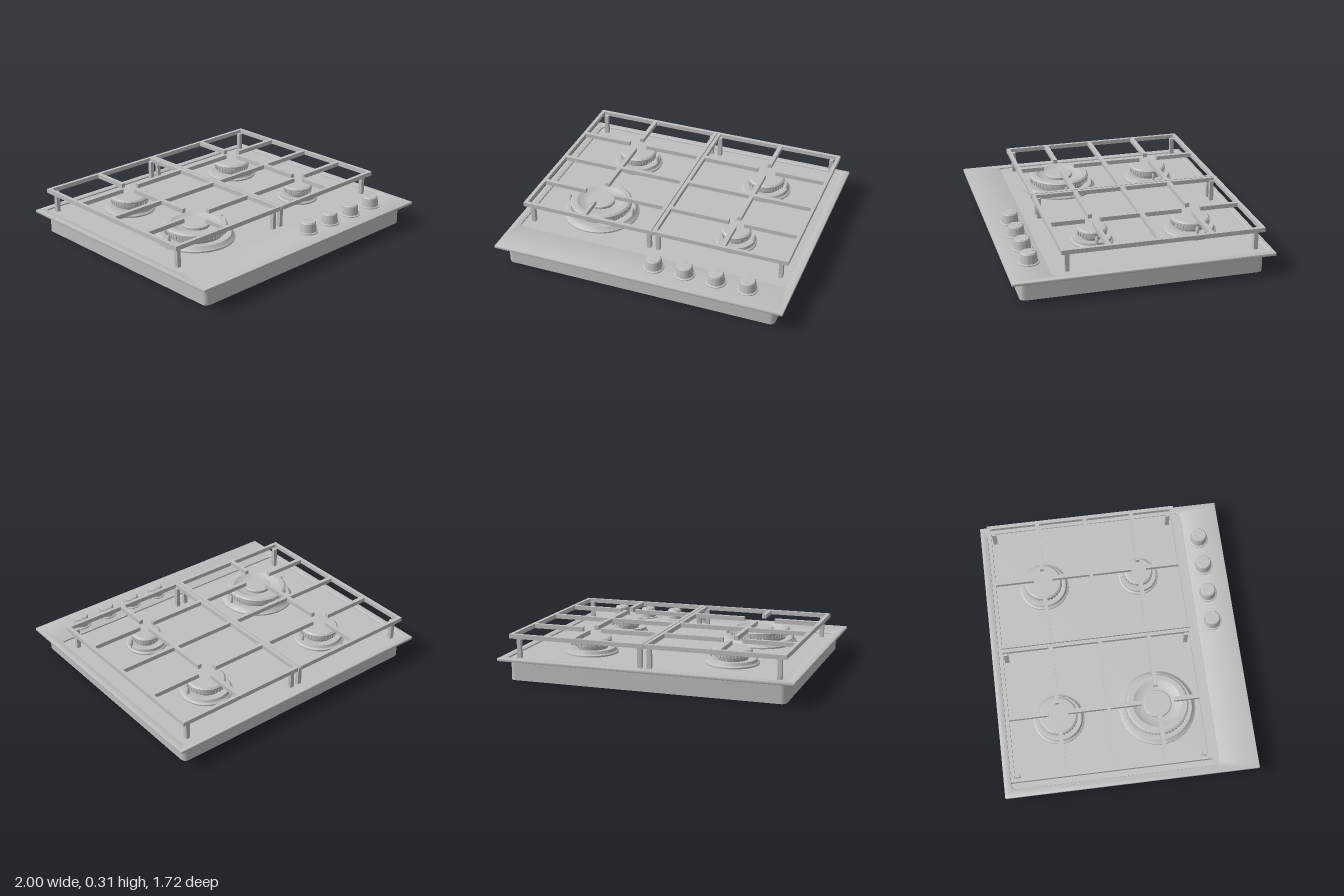
import * as THREE from 'three';
import { mergeGeometries, toCreasedNormals } from 'three/addons/utils/BufferGeometryUtils.js';

const steel = new THREE.MeshStandardMaterial({ color: 0xbfbfbf });
steel.name = 'brushed grey steel';

function add(parent, name, geometry) {
  const mesh = new THREE.Mesh(geometry, steel);
  mesh.name = name;
  parent.add(mesh);
  return mesh;
}

// Rounded rectangle in plan, x0..x1 by z0..z1
function roundedRect(x0, x1, z0, z1, r, Type = THREE.Shape) {
  const s = new Type(), a = -z1, b = -z0;
  s.moveTo(x0 + r, a);
  s.lineTo(x1 - r, a); s.quadraticCurveTo(x1, a, x1, a + r);
  s.lineTo(x1, b - r); s.quadraticCurveTo(x1, b, x1 - r, b);
  s.lineTo(x0 + r, b); s.quadraticCurveTo(x0, b, x0, b - r);
  s.lineTo(x0, a + r); s.quadraticCurveTo(x0, a, x0 + r, a);
  return s;
}

// Horizontal slab from y0 to y1 with an optional small bevel
function slab(shape, y0, y1, bevel = 0) {
  const g = new THREE.ExtrudeGeometry(shape, {
    depth: y1 - y0 - 2 * bevel, bevelEnabled: bevel > 0, bevelSize: bevel,
    bevelThickness: bevel, bevelOffset: -bevel, bevelSegments: 2, curveSegments: 6,
  });
  g.rotateX(-Math.PI / 2).translate(0, y0 + bevel, 0);
  return toCreasedNormals(g, 0.6);
}

function box(x0, x1, y0, y1, z0, z1) {
  return new THREE.BoxGeometry(x1 - x0, y1 - y0, z1 - z0)
    .translate((x0 + x1) / 2, (y0 + y1) / 2, (z0 + z1) / 2);
}

function lathe(points, segments = 48) {
  const g = new THREE.LatheGeometry(points.map(p => new THREE.Vector2(...p)), segments);
  return toCreasedNormals(g, 0.5);
}

// Burner: dished base, toothed crown, cap and ignition pins
function burner(name, x, z, baseR, capR, pins, doubleRing) {
  const g = new THREE.Group();
  g.name = name;
  g.position.set(x, 0, z);
  add(g, 'burnerBase', lathe([
    [0, 0.149], [baseR, 0.149], [baseR, 0.16], [baseR - 0.012, 0.168],
    [capR + 0.025, 0.186], [capR + 0.005, 0.188], [capR - 0.015, 0.18], [0, 0.18],
  ]));
  add(g, 'burnerCrown', lathe([
    [capR - 0.03, 0.178], [capR - 0.025, 0.2], [capR - 0.006, 0.208],
    [capR - 0.006, 0.232], [0, 0.232],
  ]));
  const teeth = [], count = Math.round(capR * 260);
  for (let i = 0; i < count; i++) {
    teeth.push(new THREE.BoxGeometry(0.012, 0.024, 0.012)
      .translate(capR - 0.007, 0.218, 0).rotateY(i / count * Math.PI * 2));
  }
  add(g, 'crownTeeth', mergeGeometries(teeth));
  const rim = [[capR - 0.01, 0.229], [capR, 0.231], [capR, 0.244], [capR - 0.012, 0.254]];
  add(g, 'burnerCap', lathe(doubleRing
    ? [...rim, [0.165, 0.254], [0.135, 0.236], [0.095, 0.234], [0.095, 0.25], [0.088, 0.255], [0, 0.255]]
    : [...rim, [0, 0.256]]));
  for (const px of pins) {
    add(g, 'ignitionPin', lathe([
      [0.006, 0.15], [0.006, 0.19], [0.011, 0.192], [0.011, 0.225], [0.005, 0.237], [0, 0.237],
    ], 12)).position.x = px;
  }
  return g;
}

// Pan support: frame, centre rib, and fingers stopping short of each burner
function grate(name, x0, x1, cx, backGap, frontGap, frontGapZ) {
  const g = new THREE.Group();
  g.name = name;
  const y0 = 0.286, y1 = 0.315, w = 0.025, h = 0.0145, zb = -0.8, zf = 0.535;
  const alongX = (a, b, z) => box(a, b, y0, y1, z - h, z + h);
  const alongZ = (a, b, x) => box(x - h, x + h, y0, y1, a, b);
  const bz = -0.445, fz = 0.23, a = x0 + w, b = x1 - w;
  add(g, 'grateFrame', mergeGeometries([
    box(x0, x1, y0, y1, zb, zb + w), box(x0, x1, y0, y1, zf - w, zf),
    box(x0, a, y0, y1, zb + w, zf - w), box(b, x1, y0, y1, zb + w, zf - w),
  ]));
  add(g, 'grateFingers', mergeGeometries([
    alongX(a, b, -0.105),
    alongX(a, cx - backGap, bz), alongX(cx + backGap, b, bz),
    alongX(a, cx - frontGap, fz), alongX(cx + frontGap, b, fz),
    alongZ(zb + w, bz - backGap, cx), alongZ(bz + backGap, fz - frontGapZ, cx),
    alongZ(fz + frontGapZ, zf - w, cx),
  ]));
  // Legs just inside the frame corners
  const inner = x0 < 0 ? [-0.885, -0.032] : [0.032, 0.88];
  for (const lx of inner) for (const lz of [-0.757, 0.49]) {
    add(g, 'grateLeg', box(lx - 0.014, lx + 0.014, 0.149, 0.295, lz - 0.014, lz + 0.014));
  }
  return g;
}

function knob(x) {
  const g = new THREE.Group();
  g.name = 'controlKnob';
  g.position.set(x, 0, 0.7);
  add(g, 'knobCollar', lathe([[0.068, 0.158], [0.068, 0.166], [0.062, 0.17], [0, 0.17]]));
  add(g, 'knobBody', lathe([
    [0.058, 0.168], [0.055, 0.2], [0.051, 0.228], [0.045, 0.236], [0, 0.237],
  ]));
  add(g, 'knobPointer', box(-0.003, 0.003, 0.235, 0.239, -0.044, -0.02));
  return g;
}

export function createModel() {
  const model = new THREE.Group();
  model.name = 'gasHob';

  // Housing under the worktop, with tiny feet
  add(model, 'housing', slab(roundedRect(-0.935, 0.935, -0.8, 0.8, 0.04), 0.005, 0.143));
  for (const x of [-0.875, 0.875]) for (const z of [-0.73, 0.73]) {
    add(model, 'foot', new THREE.CylinderGeometry(0.012, 0.012, 0.008, 16)).position.set(x, 0.004, z);
  }

  // Top plate with a shallow sunken cooking area
  const plate = roundedRect(-1, 1, -0.86, 0.86, 0.008);
  plate.holes.push(roundedRect(-0.945, 0.945, -0.81, 0.595, 0.04, THREE.Path));
  add(model, 'topPlate', slab(plate, 0.14, 0.16, 0.005));
  add(model, 'cookingWell', slab(roundedRect(-0.96, 0.96, -0.825, 0.61, 0.04), 0.141, 0.15));

  model.add(
    burner('backRightBurner', -0.495, -0.445, 0.175, 0.13, [0.15]),
    burner('backLeftBurner', 0.49, -0.445, 0.175, 0.13, [0.15]),
    burner('frontLeftBurner', 0.49, 0.23, 0.14, 0.1, [0.125]),
    burner('wokBurner', -0.495, 0.23, 0.262, 0.212, [-0.235, 0.235], true),
    grate('rightGrate', -0.935, -0.003, -0.495, 0.066, 0.108, 0.112),
    grate('leftGrate', 0.003, 0.935, 0.49, 0.066, 0.054, 0.052),
  );

  // Joining clips between the two grates
  for (const z of [-0.797, 0.53]) {
    add(model, 'grateClip', box(-0.012, 0.012, 0.284, 0.312, z - 0.009, z + 0.009));
  }

  for (const x of [0.083, 0.297, 0.51, 0.723]) model.add(knob(x));
  return model;
}
